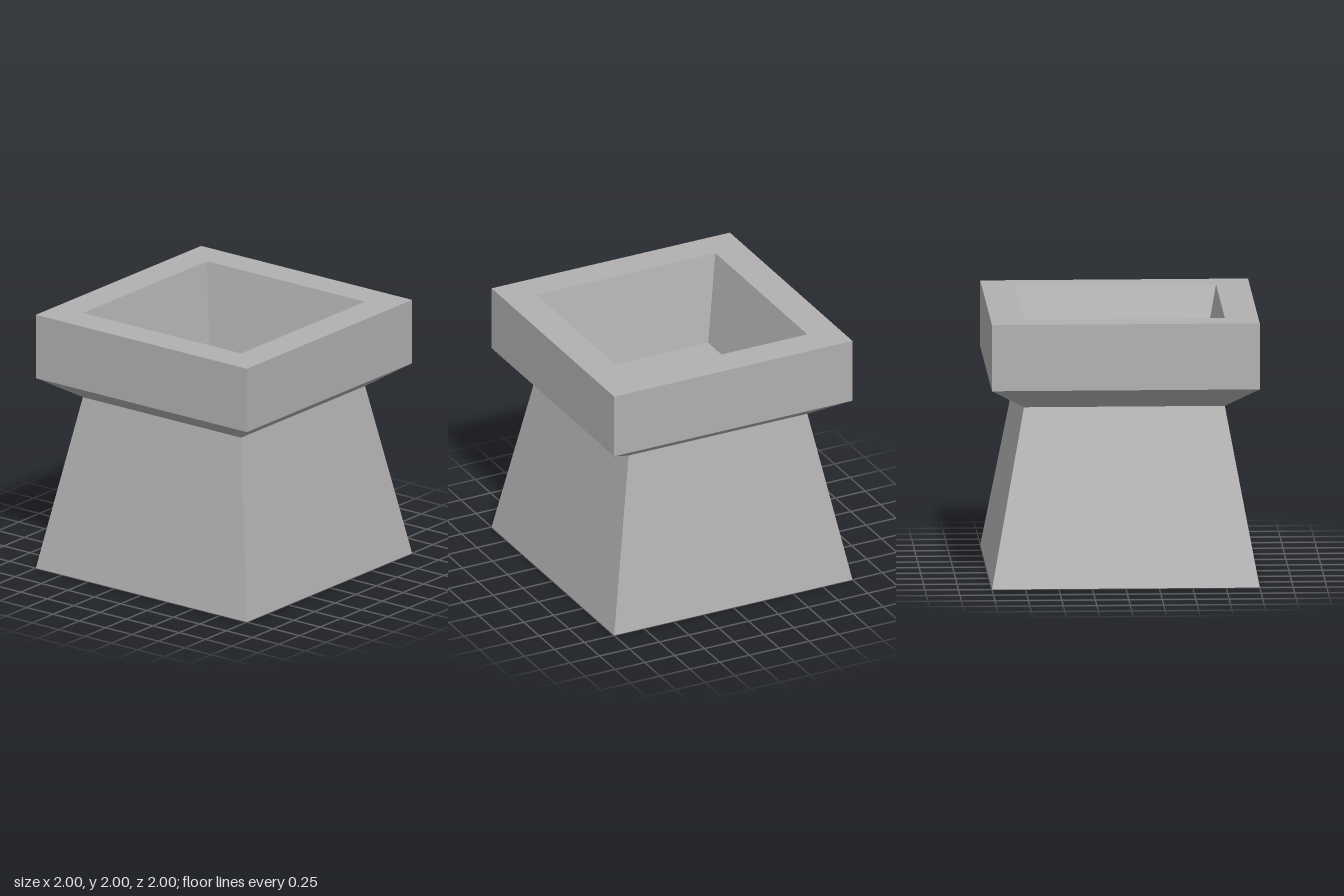
import * as THREE from 'three';

// Square solid of revolution: profile points are [half width, height]
function squareLathe(name, profile, material) {
  const points = profile.map(([half, y]) => new THREE.Vector2(half * Math.SQRT2, y));
  const geometry = new THREE.LatheGeometry(points, 4, Math.PI / 4).toNonIndexed();
  geometry.computeVertexNormals();
  const mesh = new THREE.Mesh(geometry, material);
  mesh.name = name;
  return mesh;
}

export function createModel() {
  const stone = new THREE.MeshStandardMaterial({ color: 0xb2b0b1 });
  stone.name = 'grey stone';
  const neck = 1.335;

  const group = new THREE.Group();
  group.name = 'planter';
  group.add(
    // Tapered foot with a closed underside
    squareLathe('pedestal', [[0, 0], [1, 0], [0.75, neck]], stone),
    // Flared underside, upright band and flat top rim
    squareLathe('collar', [[0.75, neck], [1, 1.5], [1, 2], [0.75, 2]], stone),
    // Sloping inner walls down to the floor
    squareLathe('basin', [[0.75, 2], [0.625, neck], [0, neck]], stone)
  );
  return group;
}
